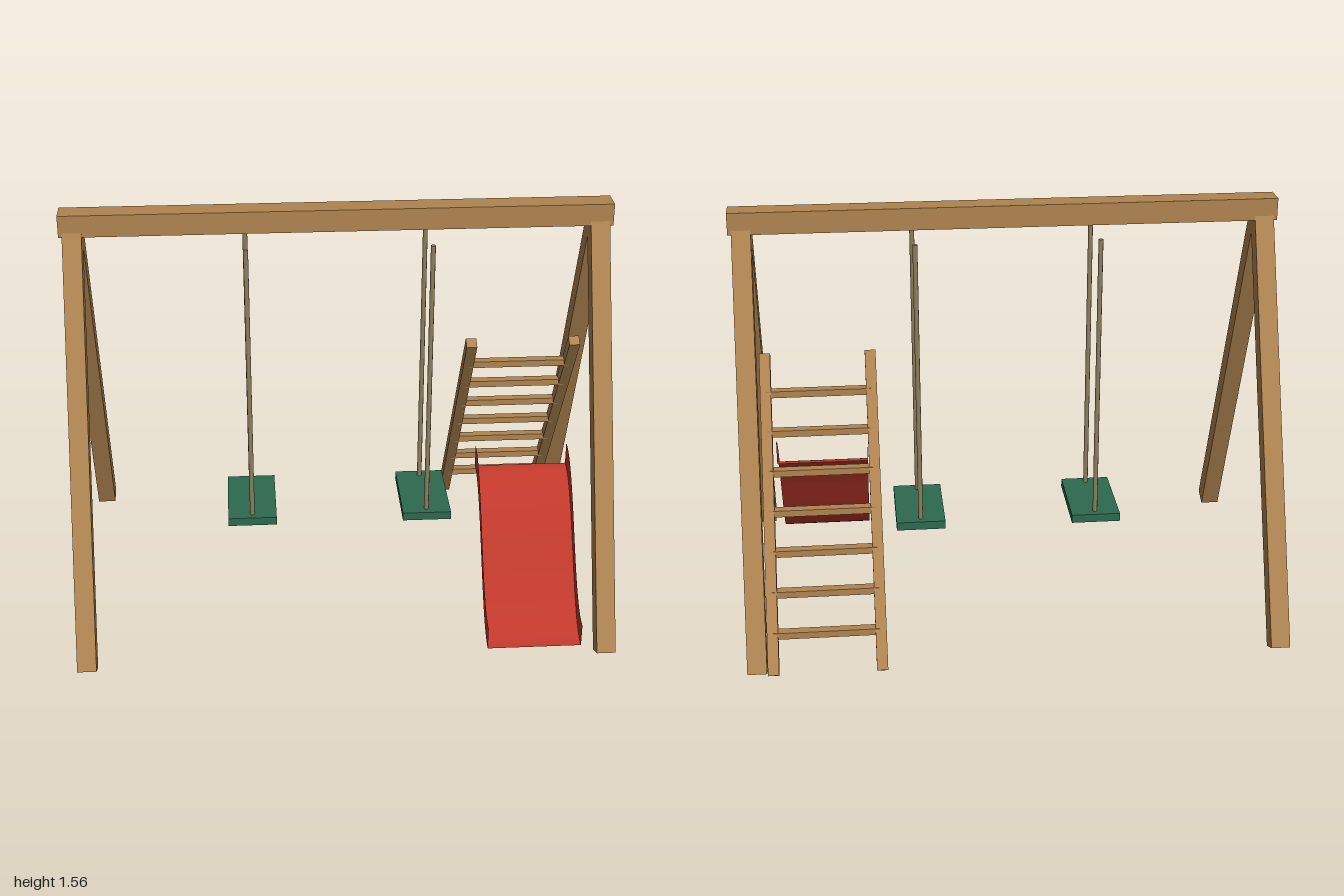
import * as THREE from 'three';

const mat = (name, color, side = THREE.FrontSide) => {
  const m = new THREE.MeshStandardMaterial({ color, side });
  m.name = name;
  return m;
};

export function createModel() {
  const wood = mat('wood', 0xb08450);
  const green = mat('seat green', 0x2d6a4f);
  const ropeTan = mat('rope tan', 0x8f8060);
  const red = mat('slide red', 0xc0392b, THREE.DoubleSide);

  const model = new THREE.Group();
  model.name = 'swingSet';

  const group = (name) => {
    const g = new THREE.Group();
    g.name = name;
    model.add(g);
    return g;
  };
  const add = (parent, name, geometry, material, x, y, z) => {
    const mesh = new THREE.Mesh(geometry, material);
    mesh.name = name;
    mesh.position.set(x, y, z);
    parent.add(mesh);
    return mesh;
  };
  // Square timber running between two (y, z) points at a fixed x
  const timber = (parent, name, x, [y0, z0], [y1, z1], size) => {
    const length = Math.hypot(y1 - y0, z1 - z0);
    const mesh = add(parent, name, new THREE.BoxGeometry(size, length, size), wood, x, (y0 + y1) / 2, (z0 + z1) / 2);
    mesh.rotation.x = Math.atan2(z1 - z0, y1 - y0);
  };

  // Frame: top beam and two pairs of splayed legs
  const frame = group('frame');
  add(frame, 'topBeam', new THREE.BoxGeometry(2, 0.082, 0.088), wood, 0, 1.518, 0);
  for (const x of [-0.952, 0.952]) {
    for (const s of [1, -1]) {
      timber(frame, s > 0 ? 'frontLeg' : 'backLeg', x, [0.022, 0.632 * s], [1.503, 0.002 * s], 0.07);
    }
  }

  // Swings: seat plank hung on two ropes
  for (const x of [-0.335, 0.335]) {
    const swing = group(x < 0 ? 'rightSwing' : 'leftSwing');
    add(swing, 'seat', new THREE.BoxGeometry(0.185, 0.032, 0.325), green, x, 0.345, 0);
    for (const z of [-0.13, 0.13]) {
      add(swing, 'rope', new THREE.CylinderGeometry(0.009, 0.009, 1.1, 8), ropeTan, x, 0.9, z);
    }
  }

  // Ladder: two leaning rails with seven level rungs
  const ladder = group('ladder');
  const top = [1.0, 0.002], foot = [0.011, -0.638];
  for (const x of [0.505, 0.895]) timber(ladder, 'ladderRail', x, foot, top, 0.04);
  for (let i = 1; i <= 7; i++) {
    const t = i / 8;
    add(ladder, 'rung', new THREE.BoxGeometry(0.385, 0.025, 0.035), wood, 0.7,
      foot[0] + (top[0] - foot[0]) * t, foot[1] + (top[1] - foot[1]) * t);
  }

  // Slide: thin S-curved chute with upright side walls
  const slide = group('slide');
  const chuteY = (z) => 0.265 + 0.25 * Math.cos(Math.PI * (z - 0.08) / 0.5);
  // Strip along z between two edges given as (x, height above floor)
  const strip = (name, [xa, ha], [xb, hb]) => {
    const n = 28;
    const positions = [], index = [];
    for (let i = 0; i <= n; i++) {
      const z = 0.08 + 0.5 * i / n;
      const y = chuteY(z);
      positions.push(xa, y + ha, z, xb, y + hb, z);
      if (i < n) {
        const a = i * 2;
        index.push(a, a + 2, a + 1, a + 1, a + 2, a + 3);
      }
    }
    const g = new THREE.BufferGeometry();
    g.setAttribute('position', new THREE.Float32BufferAttribute(positions, 3));
    g.setIndex(index);
    g.computeVertexNormals();
    add(slide, name, g, red, 0, 0, 0);
  };
  const xl = 0.525, xr = 0.875, wall = 0.087;
  strip('slideFloor', [xl, 0], [xr, 0]);
  strip('slideWall', [xl, wall], [xl, 0]);
  strip('slideWall', [xr, 0], [xr, wall]);

  return model;
}
